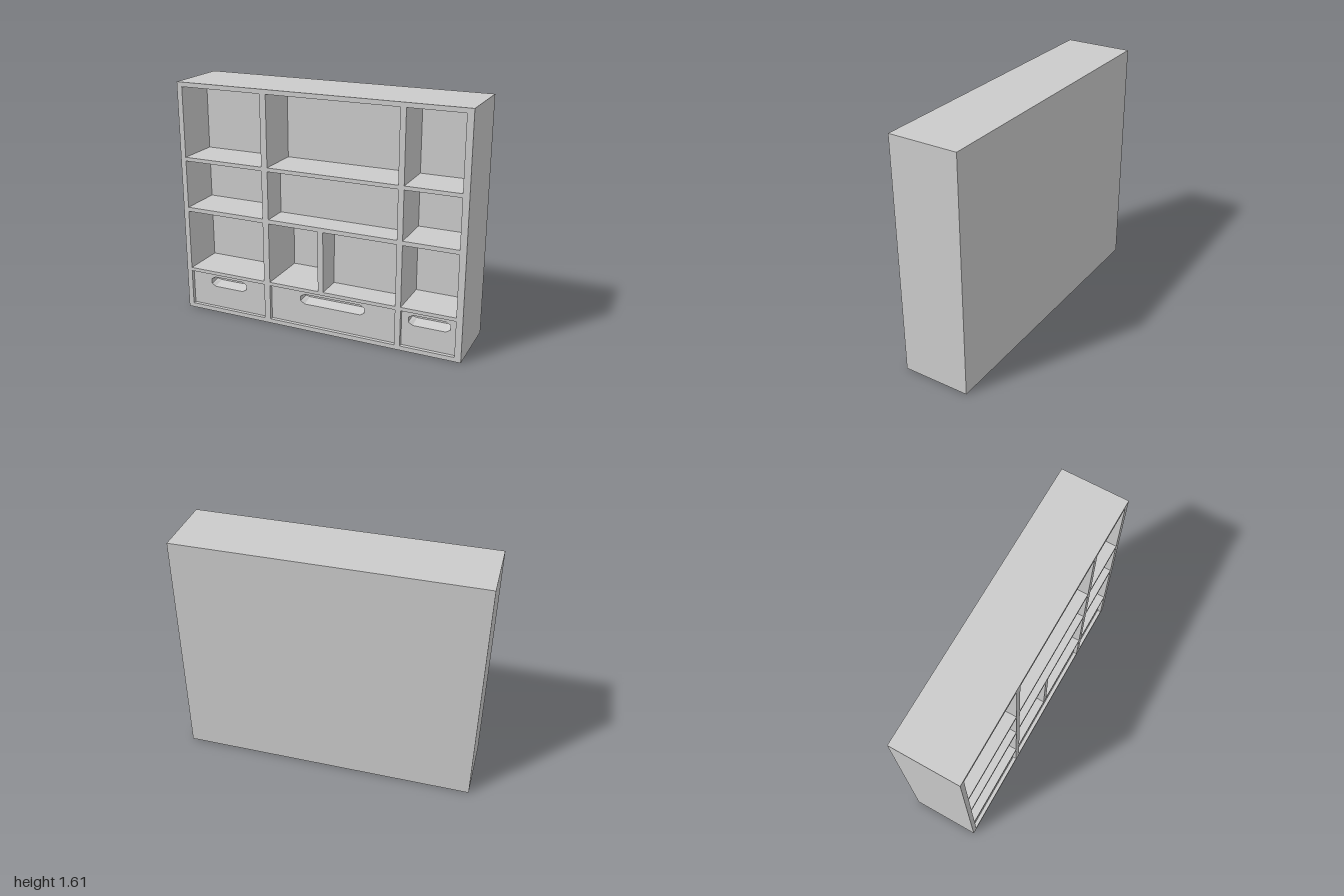
import * as THREE from 'three';

const W = 2, H = 1.613, Z = 0.23;            // width, height, half depth
const BACK = -0.14;                          // plane of the deepest cells
const material = new THREE.MeshStandardMaterial({ color: 0xcccccc, flatShading: true });

// Cells: x0, x1, y0, y1, depth of the recess
const rows = [[1.104, 1.582], [0.749, 1.078], [0.302, 0.72]];
const left = [-0.963, -0.385], middle = [-0.342, 0.556], right = [0.594, 0.957];
const cells = [];
for (const r of rows) for (const c of [left, right]) cells.push([...c, ...r, 0.30]);
cells.push([...middle, ...rows[0], 0.30]);
cells.push([...middle, ...rows[1], 0.18]);
cells.push([middle[0], 0.016, ...rows[2], 0.37]);
cells.push([0.053, middle[1], ...rows[2], 0.18]);

// Drawers: column, centre and half width of the finger pull
const drawerY = [0.03, 0.278];
const drawers = [
  { name: 'rightDrawer', column: left, cx: -0.68, half: 0.138 },
  { name: 'middleDrawer', column: middle, cx: 0.107, half: 0.23 },
  { name: 'leftDrawer', column: right, cx: 0.778, half: 0.138 },
];

const rectPoints = (x0, x1, y0, y1) =>
  [[x0, y0], [x1, y0], [x1, y1], [x0, y1]].map(([x, y]) => new THREE.Vector2(x, y));

function addMesh(parent, name, geometry, x = 0, y = 0, z = 0) {
  const mesh = new THREE.Mesh(geometry, material);
  mesh.name = name;
  mesh.position.set(x, y, z);
  parent.add(mesh);
  return mesh;
}

// Eight-sided outline of a finger pull, counter-clockwise
function pullOutline(cx, half, yLow, yHigh, bevel) {
  const inner = half - 0.03;
  return [
    [-inner, yLow], [inner, yLow], [half, yLow + bevel], [half, yHigh - bevel],
    [inner, yHigh], [-inner, yHigh], [-half, yHigh - bevel], [-half, yLow + bevel],
  ].map(([x, y]) => new THREE.Vector2(cx + x, y));
}

// Inward-facing walls between a front outline and a narrower back outline
function scoopGeometry(front, back, depth) {
  const p = [];
  for (let i = 0; i < front.length; i++) {
    const j = (i + 1) % front.length;
    const f0 = [front[i].x, front[i].y, 0], f1 = [front[j].x, front[j].y, 0];
    const b0 = [back[i].x, back[i].y, -depth], b1 = [back[j].x, back[j].y, -depth];
    p.push(...f0, ...f1, ...b1, ...f0, ...b1, ...b0);
  }
  const g = new THREE.BufferGeometry();
  g.setAttribute('position', new THREE.Float32BufferAttribute(p, 3));
  g.computeVertexNormals();
  return g;
}

export function createModel() {
  const model = new THREE.Group();
  model.name = 'shelfUnit';

  // Frame with an opening for every cell and drawer
  const outline = new THREE.Shape(rectPoints(-W / 2, W / 2, 0, H));
  for (const [x0, x1, y0, y1] of cells) outline.holes.push(new THREE.Path(rectPoints(x0, x1, y0, y1)));
  for (const d of drawers) outline.holes.push(new THREE.Path(rectPoints(...d.column, ...drawerY)));
  addMesh(model, 'frame',
    new THREE.ExtrudeGeometry(outline, { depth: Z - BACK, bevelEnabled: false }), 0, 0, BACK);

  // Solid back
  addMesh(model, 'back', new THREE.BoxGeometry(W, H, BACK + Z), 0, H / 2, (BACK - Z) / 2);

  // Back panels that set the depth of each shallower cell
  for (const [x0, x1, y0, y1, depth] of cells) {
    const thickness = Z - depth - BACK;
    if (thickness < 0.01) continue;
    addMesh(model, 'cellBack', new THREE.BoxGeometry(x1 - x0, y1 - y0, thickness),
      (x0 + x1) / 2, (y0 + y1) / 2, BACK + thickness / 2);
  }

  // Drawer fronts, slightly inset, each with a scooped finger pull
  const inset = 0.025, pullDepth = 0.08;
  for (const d of drawers) {
    const group = new THREE.Group();
    group.name = d.name;
    group.position.z = Z - inset;
    const mouth = pullOutline(d.cx, d.half, 0.18, 0.25, 0.018);
    const floor = pullOutline(d.cx, d.half, 0.2, 0.226, 0.007);
    const face = new THREE.Shape(rectPoints(...d.column, ...drawerY));
    face.holes.push(new THREE.Path(mouth));
    addMesh(group, 'drawerFront', new THREE.ShapeGeometry(face));
    addMesh(group, 'fingerPull', scoopGeometry(mouth, floor, pullDepth));
    addMesh(group, 'fingerPullBack', new THREE.ShapeGeometry(new THREE.Shape(floor)), 0, 0, -pullDepth);
    model.add(group);
  }
  return model;
}
